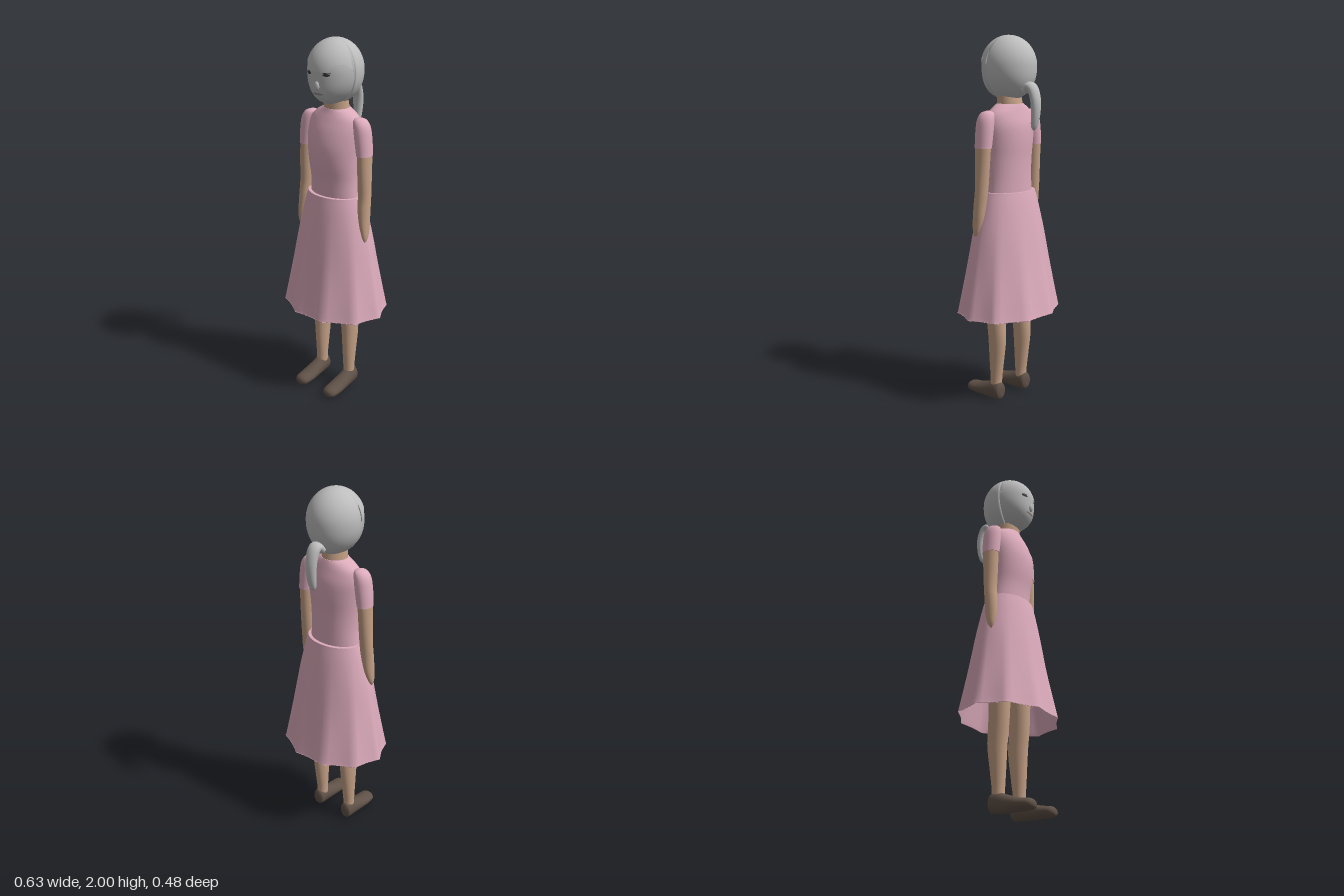
import * as THREE from 'three';

const mat = (name, color, side = THREE.FrontSide) => {
  const m = new THREE.MeshStandardMaterial({ color, side });
  m.name = name;
  return m;
};

const SEG = 32;
const V = (x, y, z) => new THREE.Vector3(x, y, z);

// Skin a list of closed rings of points, with optional end caps, facing outwards
function loft(rings, capStart = true, capEnd = true) {
  const n = rings[0].length, idx = [];
  const pts = rings.flat();
  for (let i = 0; i < rings.length - 1; i++) {
    for (let j = 0; j < n; j++) {
      const a = i * n + j, b = i * n + (j + 1) % n, c = a + n, d = b + n;
      idx.push(a, b, d, a, d, c);
    }
  }
  const cap = (ring, flip) => {
    const base = pts.length;
    const mid = V(0, 0, 0);
    ring.forEach(p => mid.add(p));
    pts.push(...ring, mid.divideScalar(n));
    for (let j = 0; j < n; j++) {
      const a = base + j, b = base + (j + 1) % n;
      flip ? idx.push(b, a, base + n) : idx.push(a, b, base + n);
    }
  };
  if (capStart) cap(rings[0], true);
  if (capEnd) cap(rings[rings.length - 1], false);

  const c = new THREE.Box3().setFromPoints(pts).getCenter(V(0, 0, 0));
  let volume = 0;
  for (let i = 0; i < idx.length; i += 3) {
    const [p, q, r] = [0, 1, 2].map(k => pts[idx[i + k]].clone().sub(c));
    volume += p.dot(q.cross(r));
  }
  if (volume < 0) idx.reverse();
  const g = new THREE.BufferGeometry().setFromPoints(pts);
  g.setIndex(idx);
  g.computeVertexNormals();
  return g;
}

// Ring of points around a centre, spanned by two half-axes
const ring = (c, u, v) => Array.from({ length: SEG }, (_, j) => {
  const a = j / SEG * Math.PI * 2;
  return c.clone().addScaledVector(u, Math.cos(a)).addScaledVector(v, Math.sin(a));
});

// Smoothly resample rows of numbers
function smooth(rows, steps = 4) {
  const f = new THREE.CubicInterpolant(rows.map((_, i) => i), rows.flat(), rows[0].length);
  const count = (rows.length - 1) * steps;
  return Array.from({ length: count + 1 }, (_, i) => Array.from(f.evaluate(i / steps)));
}

// Upright body part from rows [y, cx, cz, rx, rz]
const column = rows => loft(smooth(rows).map(([y, x, z, rx, rz]) =>
  ring(V(x, y, z), V(rx, 0, 0), V(0, 0, rz))));

// Head outline at a height: half width, front depth, back depth
function headSize(y) {
  if (y >= 1.84) {
    const s = Math.sqrt(Math.max(0, 1 - ((y - 1.84) / 0.16) ** 2));
    return [0.142 * s, 0.152 * s, 0.151 * s];
  }
  const k = Math.min(1, (1.84 - y) / 0.18);
  return [0.142 * (1 - k ** 2.2) ** 0.6, 0.152 * Math.sqrt(1 - k ** 4), 0.151 * Math.sqrt(1 - k ** 2.5)];
}

// Head point at polar angle t (0 is the crown) and turn a (0 is the front)
function headPoint(t, a, grow) {
  const c = Math.cos(t);
  const y = 1.84 + (c > 0 ? 0.16 : 0.18) * c;
  const [w, f, b] = headSize(y);
  return V(w * Math.sin(a) * grow, 1.84 + (y - 1.84) * (grow > 1 ? 1 : grow),
    (Math.cos(a) > 0 ? f : b) * Math.cos(a) * grow);
}

function headShell(rows, n, grow, tMax) {
  return Array.from({ length: rows + 1 }, (_, i) => Array.from({ length: n }, (_, j) => {
    const a = j / n * Math.PI * 2 - Math.PI;
    return headPoint(i / rows * tMax(a), a, grow);
  }));
}

// Thin oval laid on the front of the face
function faceOval(x, y, w, h, lift) {
  const g = new THREE.CircleGeometry(1, 20);
  const p = g.attributes.position;
  for (let i = 0; i < p.count; i++) {
    const px = x + p.getX(i) * w, py = y + p.getY(i) * h;
    const [hw, f] = headSize(py);
    p.setXYZ(i, px, py, f * Math.sqrt(1 - (px / hw) ** 2) + lift);
  }
  g.computeVertexNormals();
  return g;
}

export function createModel() {
  const pink = mat('dress pink', 0xdcabbb);
  const pinkOpen = mat('skirt pink', 0xdcabbb, THREE.DoubleSide);
  const skin = mat('skin', 0xc4a085);
  const grey = mat('face grey', 0xb9b9b9);
  const hairGrey = mat('hair grey', 0xbdbdbd, THREE.DoubleSide);
  const dark = mat('eye dark', 0x3a3636);
  const lip = mat('lip', 0x968a86);
  const brown = mat('shoe brown', 0x5f5147);

  const model = new THREE.Group();
  const add = (name, geometry, material) => {
    const m = new THREE.Mesh(geometry, material);
    m.name = name;
    model.add(m);
    return m;
  };

  // Head and hair, with a fringe line over the forehead
  add('head', loft(headShell(28, 48, 0.985, () => Math.PI), false, false), grey);
  const hairline = a => {
    const d = Math.abs(a) * 180 / Math.PI;
    const low = d < 25 ? 1.85 : d < 40 ? 1.85 + (d - 25) * 0.0025
      : d < 62 ? 1.888 : d < 80 ? 1.888 - (d - 62) * 0.0022 : 1.672;
    return Math.acos((low - 1.84) / (low > 1.84 ? 0.16 : 0.18));
  };
  add('hair', loft(headShell(24, 96, 1.015, hairline), false, false), hairGrey);

  // Ponytail along a curve, rows [y, z, half width, half depth]
  const tail = smooth([
    [1.715, -0.125, 0.036, 0.022], [1.737, -0.15, 0.036, 0.024], [1.718, -0.175, 0.034, 0.025],
    [1.66, -0.192, 0.031, 0.025], [1.59, -0.192, 0.026, 0.022], [1.535, -0.183, 0.02, 0.016],
    [1.512, -0.179, 0.006, 0.005]]);
  add('ponytail', loft(tail.map(([y, z, w, d], i) => {
    const p = tail[Math.max(0, i - 1)], q = tail[Math.min(tail.length - 1, i + 1)];
    const normal = V(0, -(q[1] - p[1]), q[0] - p[0]).normalize();
    return ring(V(0, y, z), V(w, 0, 0), normal.multiplyScalar(d));
  })), hairGrey);

  // Face details
  for (const s of [-1, 1]) {
    add('eye', faceOval(s * 0.055, 1.837, 0.018, 0.007, 0.002), dark);
    add('eyebrow', faceOval(s * 0.057, 1.846, 0.02, 0.002, 0.003), dark);
  }
  add('mouth', faceOval(0, 1.737, 0.034, 0.006, 0.002), lip);
  const nose = new THREE.SphereGeometry(1, 16, 12);
  nose.scale(0.016, 0.025, 0.014);
  nose.translate(0, 1.778, 0.146);
  add('nose', nose, grey);

  // Neck and bodice
  add('neck', column([[1.6, 0, -0.01, 0.075, 0.068], [1.64, 0, -0.008, 0.07, 0.066], [1.71, 0, 0, 0.066, 0.06]]), skin);
  add('bodice', column([
    [1.16, 0, 0, 0.148, 0.1], [1.26, 0, 0.003, 0.142, 0.104], [1.36, 0, 0.01, 0.147, 0.114],
    [1.45, 0, 0.008, 0.155, 0.118], [1.53, 0, 0, 0.16, 0.108], [1.59, 0, -0.005, 0.147, 0.088],
    [1.625, 0, -0.008, 0.11, 0.075], [1.645, 0, -0.008, 0.074, 0.068]]), pink);

  // Skirt: oval at the waist, opening into ten pleats at the hem
  const skirt = smooth([[1.18, 0.163, 0.119], [1.1, 0.187, 0.136], [0.95, 0.225, 0.163],
    [0.75, 0.264, 0.199], [0.53, 0.309, 0.245], [0.51, 0.315, 0.251]]);
  add('skirt', loft(skirt.map(([y, rx, rz]) => Array.from({ length: 60 }, (_, j) => {
    const a = j / 60 * Math.PI * 2, step = Math.PI / 5;
    const off = a % step - step / 2;
    const pleat = Math.cos(step / 2) / Math.cos(off) - 0.025 * Math.cos(off * 5);
    const r = THREE.MathUtils.lerp(1, pleat, THREE.MathUtils.clamp((1.15 - y) / 0.62, 0, 1) ** 1.3);
    return V(rx * r * Math.cos(a), y, rz * r * Math.sin(a));
  })), true, false), pinkOpen);

  // Limbs, built for both sides
  for (const s of [-1, 1]) {
    const limb = rows => column(rows.map(([y, x, ...rest]) => [y, x * s, ...rest]));
    add('sleeve', limb([
      [1.612, 0.155, 0, 0.008, 0.01], [1.6, 0.161, 0, 0.033, 0.036], [1.565, 0.173, 0, 0.043, 0.049],
      [1.5, 0.183, 0, 0.043, 0.052], [1.42, 0.192, 0, 0.04, 0.05]]), pink);
    add('arm', limb([
      [1.44, 0.192, 0, 0.037, 0.046], [1.32, 0.196, 0.003, 0.036, 0.042], [1.2, 0.2, 0.006, 0.035, 0.036],
      [1.12, 0.204, 0.014, 0.033, 0.036], [1.04, 0.213, 0.02, 0.025, 0.033],
      [0.98, 0.222, 0.026, 0.015, 0.021], [0.95, 0.225, 0.03, 0.004, 0.006]]), skin);
    add('leg', limb([
      [0.95, 0.1, 0, 0.065, 0.075], [0.7, 0.1, 0.003, 0.055, 0.064], [0.5, 0.1, 0.002, 0.047, 0.058],
      [0.36, 0.1, -0.007, 0.043, 0.055], [0.22, 0.1, -0.003, 0.036, 0.043],
      [0.13, 0.1, 0, 0.032, 0.034], [0.08, 0.1, 0, 0.031, 0.033]]), skin);
    // Shoe, rows [z, centre height, half width, half height]
    add('shoe', loft(smooth([
      [-0.046, 0.055, 0.015, 0.025], [-0.036, 0.056, 0.034, 0.047], [0, 0.057, 0.039, 0.054],
      [0.06, 0.046, 0.043, 0.044], [0.13, 0.035, 0.047, 0.033], [0.185, 0.031, 0.042, 0.028],
      [0.205, 0.029, 0.025, 0.018], [0.21, 0.028, 0.006, 0.005]]).map(([z, y, w, h]) =>
      ring(V(s * 0.103, y, z), V(w, 0, 0), V(0, h, 0)))), brown);
  }
  return model;
}
